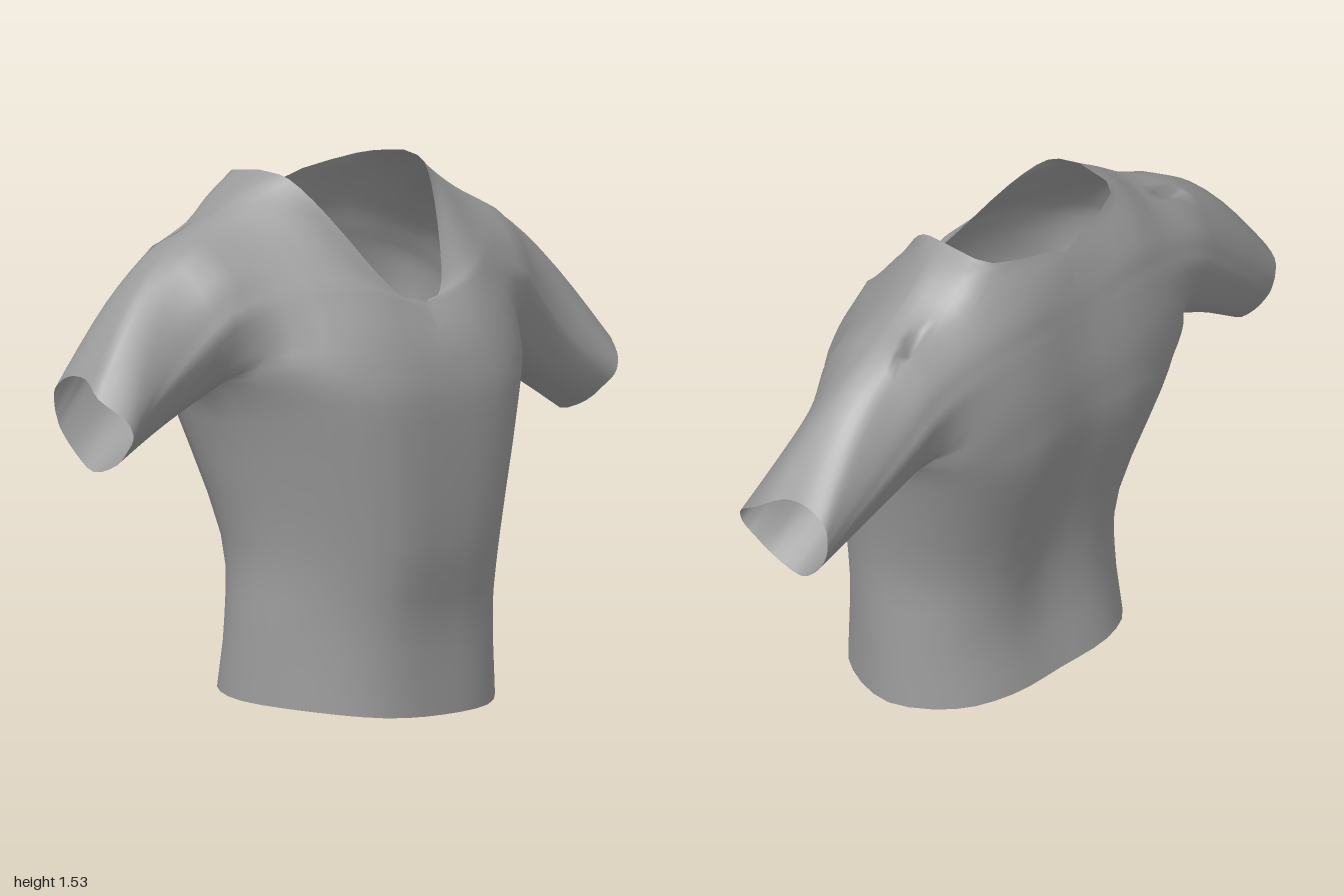
import * as THREE from 'three';

const K = 3; // subdivisions per control span
const V = (p) => new THREE.Vector3(...p);

// Smooth curve through control points, with the neighbours beyond each end given
function smooth(pts, before, after) {
  const n = pts.length;
  const p = [before ?? pts[0].clone().multiplyScalar(2).sub(pts[1]), ...pts,
    after ?? pts[n - 1].clone().multiplyScalar(2).sub(pts[n - 2])];
  const out = [];
  for (let s = 0; s < n - 1; s++) {
    for (let k = 0; k < K; k++) {
      const t = k / K, t2 = t * t, t3 = t2 * t;
      out.push(new THREE.Vector3()
        .addScaledVector(p[s], (-t + 2 * t2 - t3) / 2)
        .addScaledVector(p[s + 1], (2 - 5 * t2 + 3 * t3) / 2)
        .addScaledVector(p[s + 2], (t + 4 * t2 - 3 * t3) / 2)
        .addScaledVector(p[s + 3], (t3 - t2) / 2));
    }
  }
  out.push(pts[n - 1].clone());
  return out;
}
const mirrored = (v) => new THREE.Vector3(-v.x, v.y, v.z);

// Front half: hem to shoulder, each row from centre line or neckline to side or armhole
const frontRows = [
  [[0, .005, .348], [.2, .012, .325], [.35, .03, .19], [.435, .05, -.02]],
  [[0, .27, .342], [.2, .27, .322], [.35, .27, .18], [.42, .27, 0]],
  [[0, .5, .379], [.2, .5, .357], [.35, .5, .2], [.41, .5, 0]],
  [[0, .85, .392], [.25, .85, .367], [.42, .86, .2], [.485, .85, -.08]],
  [[0, .98, .38], [.25, .98, .357], [.46, 1, .19], [.56, .95, -.1]],
  [[0, 1.08, .345], [.22, 1.1, .327], [.44, 1.09, .195], [.565, .97, .03]],
  [[0, 1.17, .28], [.2, 1.2, .28], [.44, 1.19, .16], [.58, 1.13, .1]],
  [[.06, 1.185, .265], [.22, 1.24, .25], [.44, 1.25, .125], [.585, 1.2, .085]],
  [[.12, 1.25, .22], [.25, 1.28, .205], [.44, 1.31, .08], [.59, 1.27, .045]],
  [[.21, 1.42, .1], [.29, 1.42, .07], [.44, 1.385, 0], [.6, 1.335, -.03]],
  [[.265, 1.52, 0], [.34, 1.475, -.03], [.46, 1.415, -.06], [.6, 1.355, -.08]],
  [[.285, 1.54, -.1], [.36, 1.495, -.1], [.47, 1.425, -.11], [.6, 1.365, -.12]],
].map((row) => row.map(V));

// Back half: same rows, from side or armhole to centre line or neckline
const backRows = [
  [[.435, .05, -.02], [.355, .065, -.2], [.2, .075, -.28], [0, .075, -.285]],
  [[.42, .27, 0], [.355, .27, -.17], [.2, .27, -.25], [0, .27, -.24]],
  [[.41, .5, 0], [.35, .5, -.19], [.2, .5, -.272], [0, .5, -.252]],
  [[.485, .85, -.08], [.425, .85, -.295], [.22, .85, -.377], [0, .85, -.355]],
  [[.56, .95, -.1], [.47, .98, -.32], [.23, 1, -.39], [0, 1, -.375]],
  [[.565, .97, -.24], [.45, 1.08, -.345], [.23, 1.12, -.39], [0, 1.1, -.375]],
  [[.58, 1.13, -.315], [.44, 1.2, -.345], [.22, 1.24, -.375], [0, 1.22, -.36]],
  [[.585, 1.2, -.31], [.44, 1.26, -.33], [.23, 1.3, -.362], [0, 1.28, -.352]],
  [[.59, 1.26, -.29], [.44, 1.32, -.305], [.24, 1.37, -.345], [0, 1.35, -.34]],
  [[.6, 1.335, -.22], [.44, 1.39, -.24], [.28, 1.45, -.29], [0, 1.465, -.305]],
  [[.6, 1.355, -.18], [.45, 1.41, -.19], [.33, 1.49, -.22], [.25, 1.52, -.25]],
  [[.6, 1.365, -.12], [.47, 1.425, -.11], [.36, 1.495, -.1], [.285, 1.54, -.1]],
].map((row) => row.map(V));

// Sleeve opening: from the underside, up the front, over the top and down the back
const cuff = [
  [.92, .74, -.12], [.925, .77, -.02], [.94, .82, .04], [.948, .845, .065], [.955, .87, .075],
  [.97, .91, .06], [1, .965, -.02], [.97, 1.01, -.1], [.96, 1.01, -.18],
  [.955, .97, -.24], [.95, .92, -.247], [.945, .885, -.242], [.94, .85, -.23], [.925, .79, -.19],
].map(V);

const ARMPIT = 4; // control row where the side splits into the armhole

// Columns along the body, from control rows refined across
const columns = (rows) => rows[0].map((_, i) => smooth(rows.map((r) => r[i])));

function buildGrids() {
  const front = columns(frontRows.map((r, j) => smooth(r,
    r[0].x === 0 ? mirrored(r[1]) : null, j < ARMPIT ? backRows[j][1] : null)));
  const back = columns(backRows.map((r, j) => smooth(r,
    j < ARMPIT ? frontRows[j][2] : null, r[3].x === 0 ? mirrored(r[2]) : null)));

  // Join the side seam below the armpit
  const frontEdge = front[front.length - 1], backEdge = back[0];
  for (let j = 0; j <= ARMPIT * K; j++) {
    frontEdge[j].lerp(backEdge[j], .5);
    backEdge[j].copy(frontEdge[j]);
  }

  // Small dent in the cloth behind the shoulder
  for (const j of [1, 2]) back[1][9 * K + j].add(new THREE.Vector3(-.01, -.055, .02));

  // Sleeve rings run from the armhole to the cuff, full on top and pinched in front
  const armhole = [...frontEdge.slice(ARMPIT * K), ...backEdge.slice(ARMPIT * K).reverse().slice(1)];
  const end = smooth([...cuff, cuff[0]], cuff[cuff.length - 1], cuff[1]);
  end.splice(armhole.length);
  const steps = 8;
  const sleeve = [];
  for (let s = 0; s <= steps; s++) {
    const t = s / steps, swell = Math.sin(Math.PI * t);
    sleeve.push(armhole.map((a, k) => {
      const angle = (k / (armhole.length - 1)) * Math.PI * 2;
      const p = a.clone().lerp(end[k], t);
      p.y += .045 * Math.max(0, -Math.cos(angle)) * swell;
      p.z -= .035 * Math.max(0, Math.sin(angle)) * swell;
      return p;
    }));
  }
  return { front, back, sleeve };
}

export function createModel() {
  const { front, back, sleeve } = buildGrids();
  const positions = [], lookup = new Map();

  // Welded vertices so shading runs smoothly across the seams
  function vertex(p, side) {
    const q = [p.x * side, p.y, p.z];
    const key = q.map((c) => Math.round(c * 1e4) + 0).join();
    if (!lookup.has(key)) {
      lookup.set(key, positions.length / 3);
      positions.push(...q);
    }
    return lookup.get(key);
  }

  // Faces of a grid of columns; side -1 mirrors it
  function faces(grid, side) {
    const index = [];
    const tri = (a, b, c) => {
      if (a === b || b === c || a === c) return;
      index.push(...(side > 0 ? [a, b, c] : [a, c, b]));
    };
    for (let i = 0; i < grid.length - 1; i++) {
      for (let j = 0; j < grid[0].length - 1; j++) {
        const [a, b, c, d] = [grid[i][j], grid[i + 1][j], grid[i + 1][j + 1], grid[i][j + 1]]
          .map((p) => vertex(p, side));
        tri(a, b, c);
        tri(a, c, d);
      }
    }
    return index;
  }

  const parts = {
    frontPanel: [...faces(front, 1), ...faces(front, -1)],
    backPanel: [...faces(back, 1), ...faces(back, -1)],
    leftSleeve: faces(sleeve, 1),
    rightSleeve: faces(sleeve, -1),
  };

  const whole = new THREE.BufferGeometry();
  whole.setAttribute('position', new THREE.Float32BufferAttribute(positions, 3));
  whole.setIndex(Object.values(parts).flat());
  whole.computeVertexNormals();

  const material = new THREE.MeshStandardMaterial({ color: 0x9a9a9a, side: THREE.DoubleSide });
  const shirt = new THREE.Group();
  shirt.name = 'shirt';
  for (const [name, index] of Object.entries(parts)) {
    const geometry = new THREE.BufferGeometry();
    geometry.setAttribute('position', whole.attributes.position);
    geometry.setAttribute('normal', whole.attributes.normal);
    geometry.setIndex(index);
    const mesh = new THREE.Mesh(geometry, material);
    mesh.name = name;
    shirt.add(mesh);
  }
  return shirt;
}
